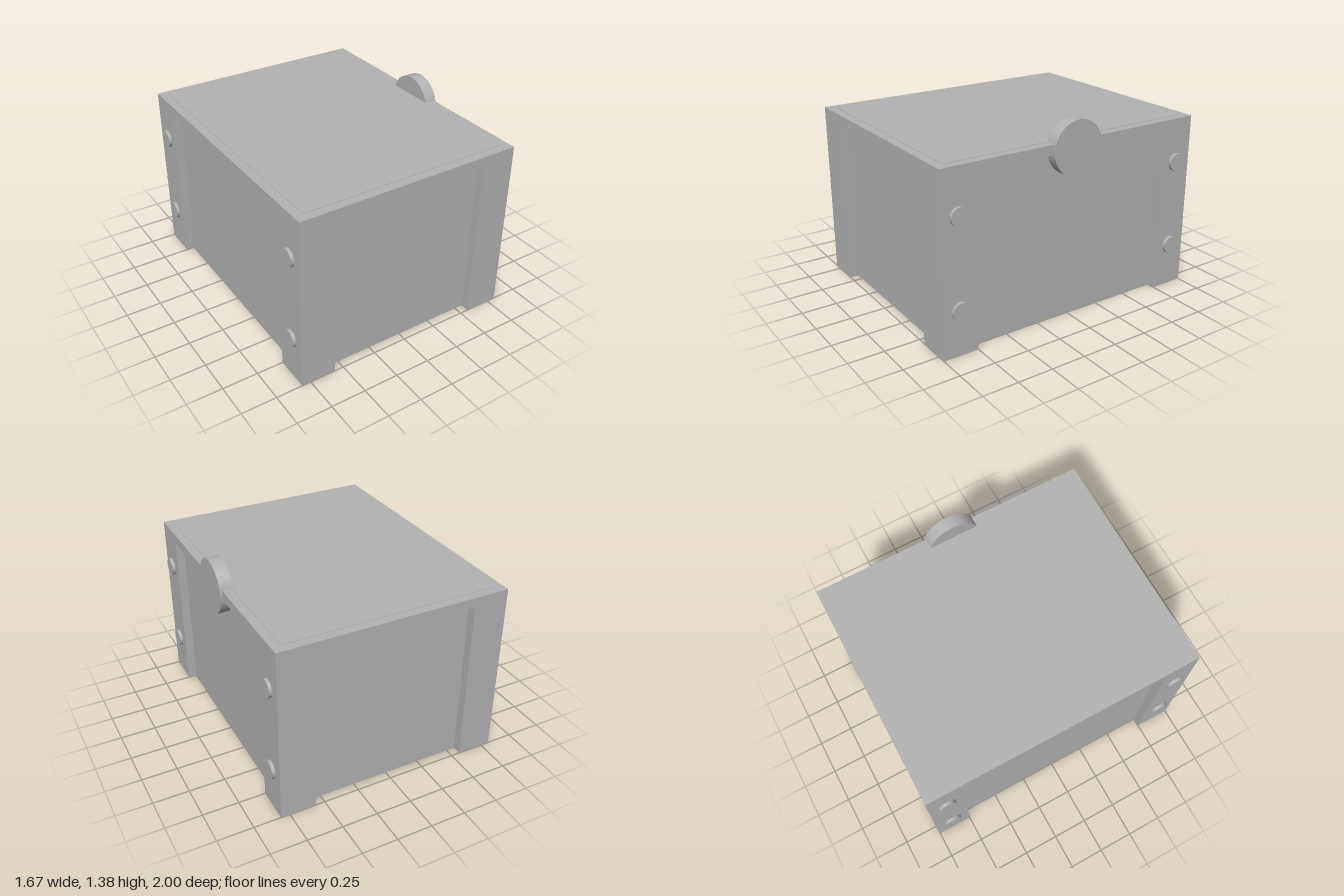
import * as THREE from 'three';

export function createModel() {
  const group = new THREE.Group();
  const grey = new THREE.MeshStandardMaterial({ color: 0xb3b3b3 });
  grey.name = 'grey';

  const W = 0.8125, D = 1, H = 1.25;      // half width, half depth, height
  const INSET = 0.0625, POST = 0.25;      // panel recess, post width

  function add(name, geometry, x, y, z) {
    const mesh = new THREE.Mesh(geometry, grey);
    mesh.name = name;
    mesh.position.set(x, y, z);
    group.add(mesh);
    return mesh;
  }

  // Disc whose axis runs along x
  function disc(name, radius, thickness, x, y, z) {
    const geometry = new THREE.CylinderGeometry(radius, radius, thickness, 32);
    geometry.rotateZ(Math.PI / 2);
    return add(name, geometry, x, y, z);
  }

  // Inner box: recessed side panels and a barely raised top
  const coreHeight = H + 0.003;
  add('innerBox', new THREE.BoxGeometry(2 * (W - INSET), coreHeight, 2 * (D - INSET)), 0, coreHeight / 2, 0);

  // Rim around the top
  add('topRim', new THREE.BoxGeometry(2 * W, INSET + 0.005, 2 * D), 0, H - (INSET + 0.005) / 2, 0);

  // Corner posts with two rivets on each outer side
  const postHeight = H - INSET;
  for (const sx of [-1, 1]) {
    for (const sz of [-1, 1]) {
      add('cornerPost', new THREE.BoxGeometry(POST, postHeight, POST),
        sx * (W - POST / 2), postHeight / 2, sz * (D - POST / 2));
      for (const y of [0.3125, 0.9375]) {
        disc('rivet', 0.0625, 0.04, sx * (W + 0.002), y, sz * (D - POST / 2));
      }
    }
  }

  // Round latch at the upper edge of one side
  disc('latchDisc', 0.1875, 0.09, 0.781, 1.197, 0);

  return group;
}
